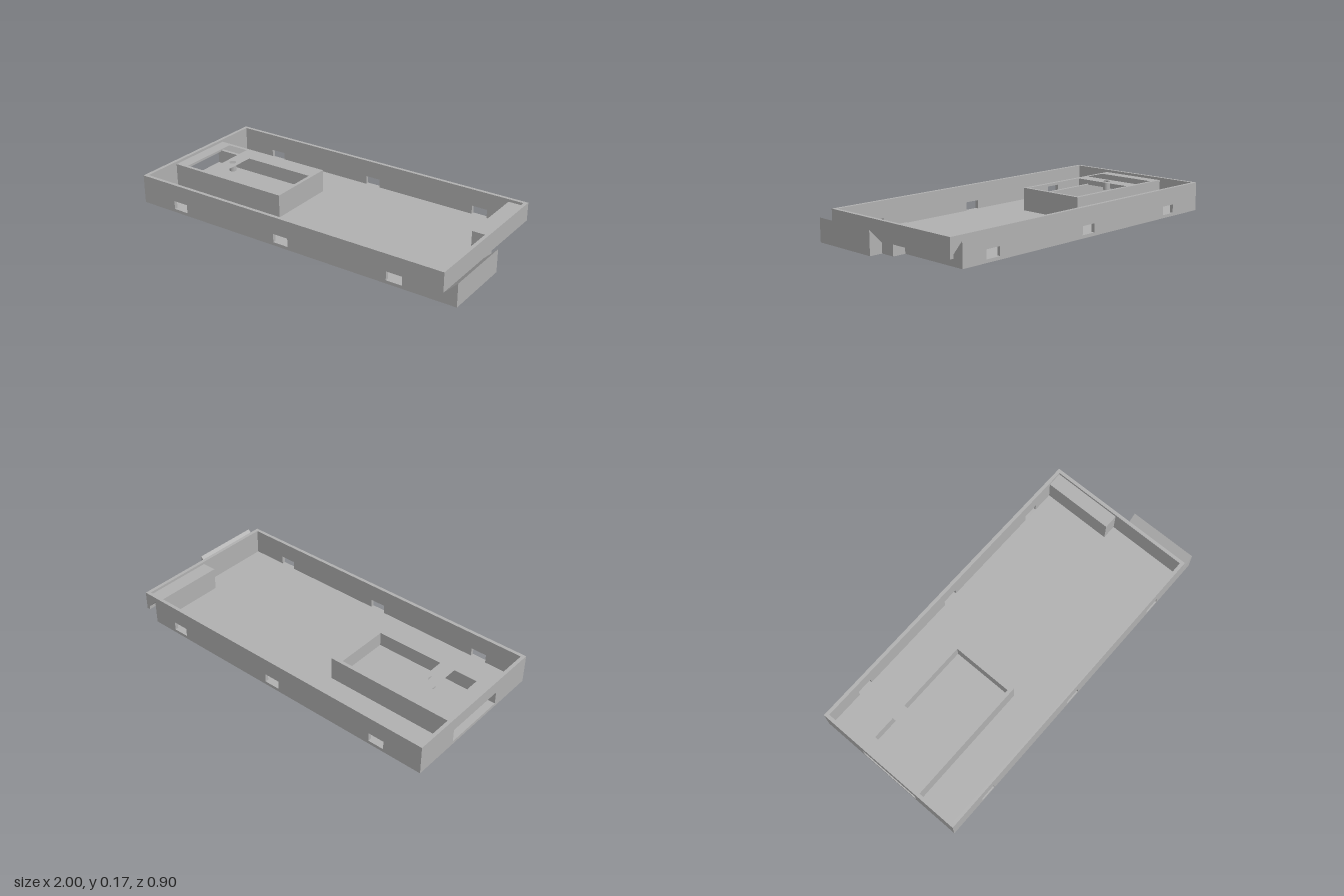
import * as THREE from 'three';

const X0 = -1, X1 = 0.925, Z = 0.4525, H = 0.165, T = 0.02, FLOOR = 0.018;
const NOTCH_Z = -0.04, TOP = 0.15;

const rect = (a, b, c, d) => [[a, b], [c, b], [c, d], [a, d]];

function shapeOf(points, holes = []) {
  const toV = p => p.map(([x, y]) => new THREE.Vector2(x, y));
  const s = new THREE.Shape(toV(points));
  for (const h of holes) s.holes.push(new THREE.Path(toV(h)));
  return s;
}
const extrude = (shape, depth) =>
  new THREE.ExtrudeGeometry(shape, { depth, bevelEnabled: false, curveSegments: 24 });

// outline in (x, y), running from z0 to z1
const alongZ = (points, holes, z0, z1) =>
  extrude(shapeOf(points, holes), z1 - z0).translate(0, 0, z0);

// outline in (z, y), running from x0 to x1
const alongX = (points, holes, x0, x1) =>
  extrude(shapeOf(points, holes), x1 - x0).rotateY(-Math.PI / 2).translate(x1, 0, 0);

// outline in (x, z), running from y0 to y1
function alongY(points, holes, y0, y1) {
  const flip = p => p.map(([x, z]) => [x, -z]);
  return extrude(shapeOf(flip(points), holes.map(flip)), y1 - y0)
    .rotateX(-Math.PI / 2).translate(0, y0, 0);
}

export function createModel() {
  const group = new THREE.Group();
  const grey = new THREE.MeshStandardMaterial({ color: 0xb0b0b0 });
  grey.name = 'plainGrey';
  const add = (name, geometry) => {
    const mesh = new THREE.Mesh(geometry, grey);
    mesh.name = name;
    group.add(mesh);
  };

  // floor, cut away under the catch pocket
  add('floor', alongY([[X0, -Z], [0.85, -Z], [0.85, NOTCH_Z], [X1, NOTCH_Z], [X1, Z], [X0, Z]],
    [], 0, FLOOR));

  // long walls with three small windows each
  const windows = [-0.73, -0.04, 0.652].map(x => rect(x - 0.046, FLOOR, x + 0.046, 0.067));
  add('frontWall', alongZ(rect(X0, 0, X1, H), windows, Z - T, Z));
  add('backWall', alongZ([[X0, 0], [0.85, 0], [0.85, 0.135], [X1, 0.06], [X1, H], [X0, H]],
    windows, -Z, -Z + T));

  // end walls: one with a wide port, one stepped over the catch pocket
  add('portWall', alongX(rect(-Z, 0, Z, H), [rect(-0.185, FLOOR, 0.185, 0.092)], X0, X0 + T));
  add('catchWall', alongX([[-Z, 0.06], [NOTCH_Z, 0.06], [NOTCH_Z, 0], [Z, 0], [Z, H], [-Z, H]],
    [], X1 - T, X1));

  // catch pocket housing with a sloped roof, closed at its inner end
  add('catchPocket', alongZ([[0.82, 0], [0.85, 0], [0.85, 0.135], [X1, 0.06], [X1, TOP], [0.82, TOP]],
    [], -Z, NOTCH_Z));
  add('catchPocketEnd', alongZ(rect(0.82, 0, X1 - 0.001, TOP), [], NOTCH_Z, NOTCH_Z + T));

  // hook with a sloped top that fits such a pocket
  add('hook', alongZ([[X1, 0], [1, 0], [1, 0.13], [X1, 0.055]], [], 0.045, Z));

  // inner compartment: U-shaped walls below, pierced plate above
  const BX = -0.235, BZ = 0.205, CX = -0.255, CZ = 0.185, plateY = 0.1, left = X0 + T;
  add('compartmentWalls', alongY([[left, -BZ], [BX, -BZ], [BX, BZ], [left, BZ], [left, CZ],
    [CX, CZ], [CX, -CZ], [left, -CZ]], [], FLOOR, plateY));
  const hole = Array.from({ length: 24 }, (_, i) => {
    const a = i / 24 * Math.PI * 2;
    return [-0.73 + 0.02 * Math.cos(a), 0.02 * Math.sin(a)];
  });
  add('compartmentTop', alongY(rect(left, -BZ, BX, BZ),
    [rect(-0.91, -CZ, -0.775, CZ), rect(-0.685, -CZ, CX, CZ), hole], plateY, TOP));

  return group;
}
